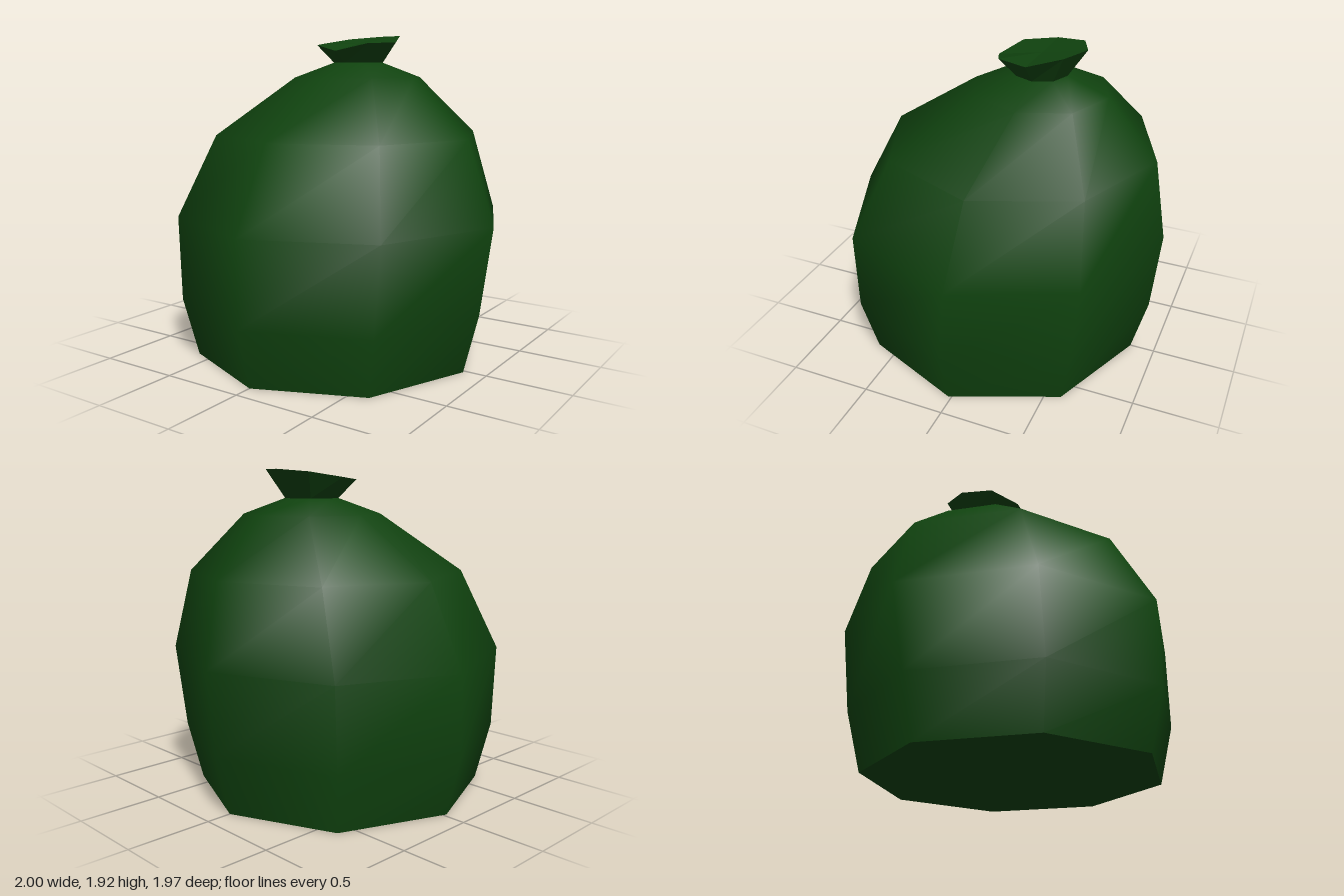
import * as THREE from 'three';

const SIDES = 8;

// One ring of points: half width, front and back z, and a height for each corner
function ring(halfWidth, front, back, heightAt, sideShift = 0) {
  const points = [];
  for (let i = 0; i < SIDES; i++) {
    const a = (i / SIDES) * Math.PI * 2;
    const z = (front + back) / 2 + ((front - back) / 2) * Math.cos(a);
    points.push([halfWidth * Math.sin(a), heightAt(i), z - sideShift * Math.sin(a) ** 4]);
  }
  return points;
}

// Skin a stack of rings with quads
function loft(rings) {
  const index = [];
  for (let j = 0; j < rings.length - 1; j++) {
    for (let i = 0; i < SIDES; i++) {
      const n = (i + 1) % SIDES;
      const a = j * SIDES + i, b = j * SIDES + n;
      index.push(a, b, b + SIDES, a, b + SIDES, a + SIDES);
    }
  }
  return finish(rings.flat(), index);
}

// Close a ring with a fan around a centre point
function cap(points, centre, facingUp) {
  const index = [];
  for (let i = 0; i < SIDES; i++) {
    const n = (i + 1) % SIDES;
    index.push(SIDES, facingUp ? i : n, facingUp ? n : i);
  }
  return finish([...points, centre], index);
}

function finish(points, index) {
  const geometry = new THREE.BufferGeometry();
  geometry.setAttribute('position', new THREE.Float32BufferAttribute(points.flat(), 3));
  geometry.setIndex(index);
  geometry.computeVertexNormals();
  return geometry;
}

// Split the faces apart so each keeps its own flat normal
function faceted(geometry) {
  const flat = geometry.toNonIndexed();
  flat.computeVertexNormals();
  return flat;
}

export function createModel() {
  const group = new THREE.Group();
  group.name = 'tiedSack';
  const green = new THREE.MeshStandardMaterial({ color: 0x10430f });
  green.name = 'dark green';

  const add = (name, geometry) => {
    const mesh = new THREE.Mesh(geometry, green);
    mesh.name = name;
    group.add(mesh);
  };

  // Sack body: height, half width, front z, back z, side shift
  const body = [
    [0, 0.865, 0.89, -0.85, 0],
    [0.35, 0.955, 0.98, -0.94, 0],
    [0.85, 1.0, 0.985, -0.985, 0.045],
    [1.33, 0.81, 0.72, -0.905, 0],
    [1.67, 0.395, 0.2, -0.605, 0],
    [1.76, 0.155, -0.05, -0.36, 0],
  ].map(([y, w, f, b, s]) => ring(w, f, b, () => y, s));
  add('sackBody', loft(body));
  add('sackBottom', cap(body[0], [0, 0, 0.02], false));

  // Gathered top flaring out of the neck, with an uneven rim
  const rimHeights = [1.83, 1.875, 1.88, 1.925, 1.925, 1.91, 1.88, 1.867];
  const rim = ring(0.262, 0.055, -0.472, (i) => rimHeights[i]);
  add('gatheredNeck', faceted(loft([body[5], rim])));
  add('gatheredTop', faceted(cap(rim, [0, 1.877, -0.208], true)));

  return group;
}
